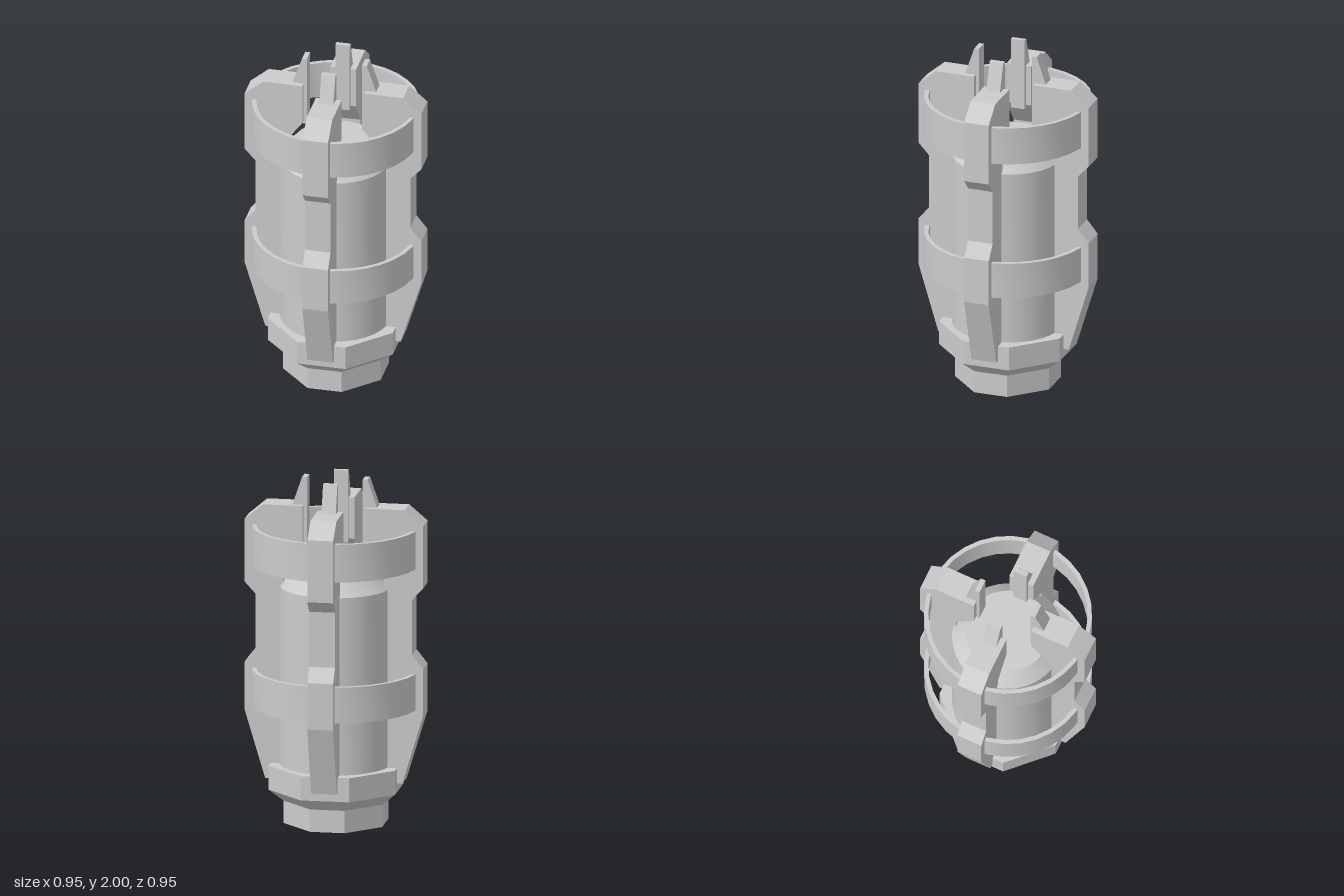
import * as THREE from 'three';
import { toCreasedNormals } from 'three/addons/utils/BufferGeometryUtils.js';

const V = (x, y) => new THREE.Vector2(x, y);
const grey = (flatShading = false) => new THREE.MeshStandardMaterial({ color: 0xcccccc, flatShading });

function addMesh(parent, name, geometry, flat = false) {
  const mesh = new THREE.Mesh(geometry, grey(flat));
  mesh.name = name;
  parent.add(mesh);
  return mesh;
}

// Chamfered-square sections [y, half width, half flat length] joined into a closed solid
function loftOctagons(sections) {
  const pos = [], index = [], last = (sections.length - 1) * 8;
  for (const [y, h, c] of sections) {
    for (const [x, z] of [[h, c], [h, -c], [c, -h], [-c, -h], [-h, -c], [-h, c], [-c, h], [c, h]]) pos.push(x, y, z);
  }
  for (let s = 0; s < last; s += 8) {
    for (let i = 0; i < 8; i++) {
      const a = s + i, b = s + (i + 1) % 8;
      index.push(a, b, b + 8, a, b + 8, a + 8);
    }
  }
  for (let i = 1; i < 7; i++) {
    index.push(0, i + 1, i, last, last + i, last + i + 1);
  }
  const geo = new THREE.BufferGeometry();
  geo.setAttribute('position', new THREE.Float32BufferAttribute(pos, 3));
  geo.setIndex(index);
  const out = geo.toNonIndexed();
  out.computeVertexNormals();
  return out;
}

// Slab with a (radius, height) outline, centred on its thickness
function slab(points, thickness) {
  const geo = new THREE.ExtrudeGeometry(new THREE.Shape(points.map(([r, y]) => V(r, y))), {
    depth: thickness, bevelEnabled: false,
  });
  return geo.translate(0, 0, -thickness / 2);
}

function turned(profile) {
  return toCreasedNormals(new THREE.LatheGeometry(profile.map(([r, y]) => V(r, y)), 32), 0.5);
}

export function createModel() {
  const model = new THREE.Group();
  model.name = 'cagedCanister';

  // Faceted foot flaring into the collar
  addMesh(model, 'base', loftOctagons([
    [0, 0.27, 0.13], [0.13, 0.27, 0.13], [0.2, 0.355, 0.158], [0.34, 0.355, 0.158],
  ]), true);

  // Round core with a tapered shoulder
  addMesh(model, 'core', turned([[0, 0.3], [0.317, 0.3], [0.317, 1.37], [0.241, 1.46], [0, 1.46]]));

  // Two hoops running through the fins
  for (const [name, y0, y1] of [['lowerHoop', 0.68, 0.89], ['upperHoop', 1.5, 1.72]]) {
    addMesh(model, name, turned([[0.45, y0], [0.475, y0], [0.475, y1], [0.45, y1], [0.45, y0]]));
  }

  // Four diagonal fins, each with a pointed prong at the top
  const finGeometry = slab([
    [0.25, 0.25], [0.393, 0.25], [0.513, 0.65], [0.513, 0.92], [0.449, 1.0], [0.449, 1.32],
    [0.513, 1.39], [0.513, 1.75], [0.407, 1.84], [0.178, 1.84], [0.178, 1.6], [0.29, 1.45],
  ], 0.148);
  const prongGeometry = slab([[0.16, 1.58], [0.2425, 1.58], [0.2425, 1.84], [0.188, 2], [0.16, 2]], 0.082);
  for (let i = 0; i < 4; i++) {
    const arm = new THREE.Group();
    arm.name = 'arm' + (i + 1);
    arm.rotation.y = Math.PI / 4 + i * Math.PI / 2;
    addMesh(arm, 'fin', finGeometry, true);
    addMesh(arm, 'prong', prongGeometry, true);
    model.add(arm);
  }
  return model;
}
